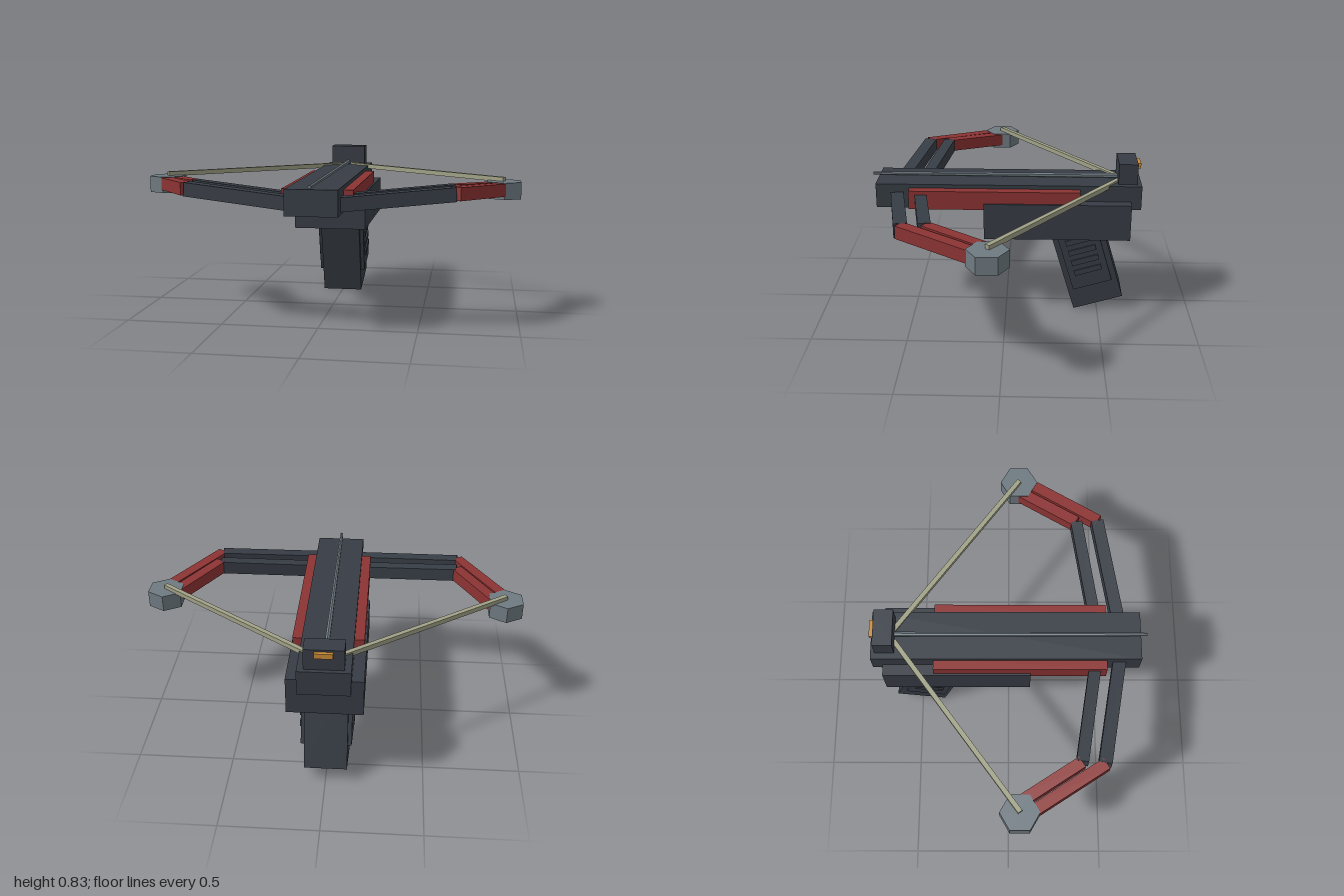
import * as THREE from 'three';

const mat = (name, color) => Object.assign(new THREE.MeshStandardMaterial({ color, flatShading: true }), { name });

export function createModel() {
  const dark = mat('charcoal', 0x373d45);
  const red = mat('red', 0x8c3333);
  const steel = mat('steel', 0x6e7a81);
  const cord = mat('cord', 0xa0a186);
  const orange = mat('orange', 0xc88a35);
  const model = new THREE.Group();
  model.name = 'crossbow';

  const add = (parent, name, geometry, material) => {
    const mesh = new THREE.Mesh(geometry, material);
    mesh.name = name;
    parent.add(mesh);
    return mesh;
  };
  // Box given by its low and high corners
  const box = (parent, name, material, [x0, y0, z0], [x1, y1, z1]) => {
    const m = add(parent, name, new THREE.BoxGeometry(x1 - x0, y1 - y0, z1 - z0), material);
    m.position.set((x0 + x1) / 2, (y0 + y1) / 2, (z0 + z1) / 2);
    return m;
  };
  // Square beam running from a to b
  const beam = (parent, name, material, a, b, w, h) => {
    const p = new THREE.Vector3(...a), q = new THREE.Vector3(...b);
    const m = add(parent, name, new THREE.BoxGeometry(w, h, p.distanceTo(q)), material);
    m.position.copy(p).add(q).multiplyScalar(0.5);
    m.lookAt(q);
    return m;
  };

  // Stock, lower body and rear sight
  box(model, 'stock', dark, [-0.13, 0.6, -0.71], [0.13, 0.73, 0.685]);
  box(model, 'body', dark, [-0.19, 0.45, -0.655], [0.19, 0.645, 0.115]);
  box(model, 'rearSight', dark, [-0.098, 0.73, -0.688], [0.098, 0.84, -0.588]);
  box(model, 'sightMark', orange, [-0.045, 0.803, -0.707], [0.045, 0.83, -0.68]);

  // Bolt lying on the stock
  const bolt = add(model, 'bolt', new THREE.CylinderGeometry(0.009, 0.013, 1.305, 6), steel);
  bolt.rotation.x = Math.PI / 2;
  bolt.position.set(0, 0.745, 0.0625);

  // Slanted grip; local y runs up its axis from the base
  const grip = new THREE.Group();
  grip.name = 'grip';
  grip.position.set(0, 0.045, -0.505);
  grip.rotation.x = 0.293;
  model.add(grip);
  box(grip, 'gripCore', dark, [-0.11, 0, -0.138], [0.11, 0.49, 0.138]);

  for (const s of [1, -1]) {
    // Grip panel with raised ribs
    const panel = box(grip, 'gripPanel', dark, [0.1, 0.12, -0.108], [0.13, 0.46, 0.108]);
    panel.position.x *= s;
    for (let i = 0; i < 4; i++) {
      const y = 0.2 + i * 0.06;
      const rib = box(grip, 'gripRib', dark, [0.125, y, -0.075], [0.138, y + 0.03, 0.075]);
      rib.position.x *= s;
    }

    // Side rail
    box(model, 'sideRail', red, [s > 0 ? 0.12 : -0.18, 0.61, -0.388],
      [s > 0 ? 0.18 : -0.12, 0.71, 0.508]);

    // Paired limbs: dark inner beams, red outer beams
    beam(model, 'frontInnerLimb', dark, [s * 0.08, 0.645, 0.582], [s * 0.672, 0.697, 0.479], 0.067, 0.07);
    beam(model, 'rearInnerLimb', dark, [s * 0.08, 0.645, 0.46], [s * 0.665, 0.697, 0.366], 0.062, 0.07);
    beam(model, 'frontOuterLimb', red, [s * 0.672, 0.698, 0.486], [s * 0.91, 0.678, 0.112], 0.06, 0.066);
    beam(model, 'rearOuterLimb', red, [s * 0.664, 0.698, 0.366], [s * 0.855, 0.678, 0.065], 0.06, 0.066);

    // Hexagonal pulley at the limb tip
    const pulley = add(model, 'pulley', new THREE.CylinderGeometry(0.1, 0.1, 0.087, 6), steel);
    pulley.position.set(s * 0.913, 0.672, 0.056);

    // Drawn string
    beam(model, 'string', cord, [s * 0.913, 0.724, 0.058], [s * 0.015, 0.727, -0.605], 0.025, 0.025);
  }
  return model;
}
